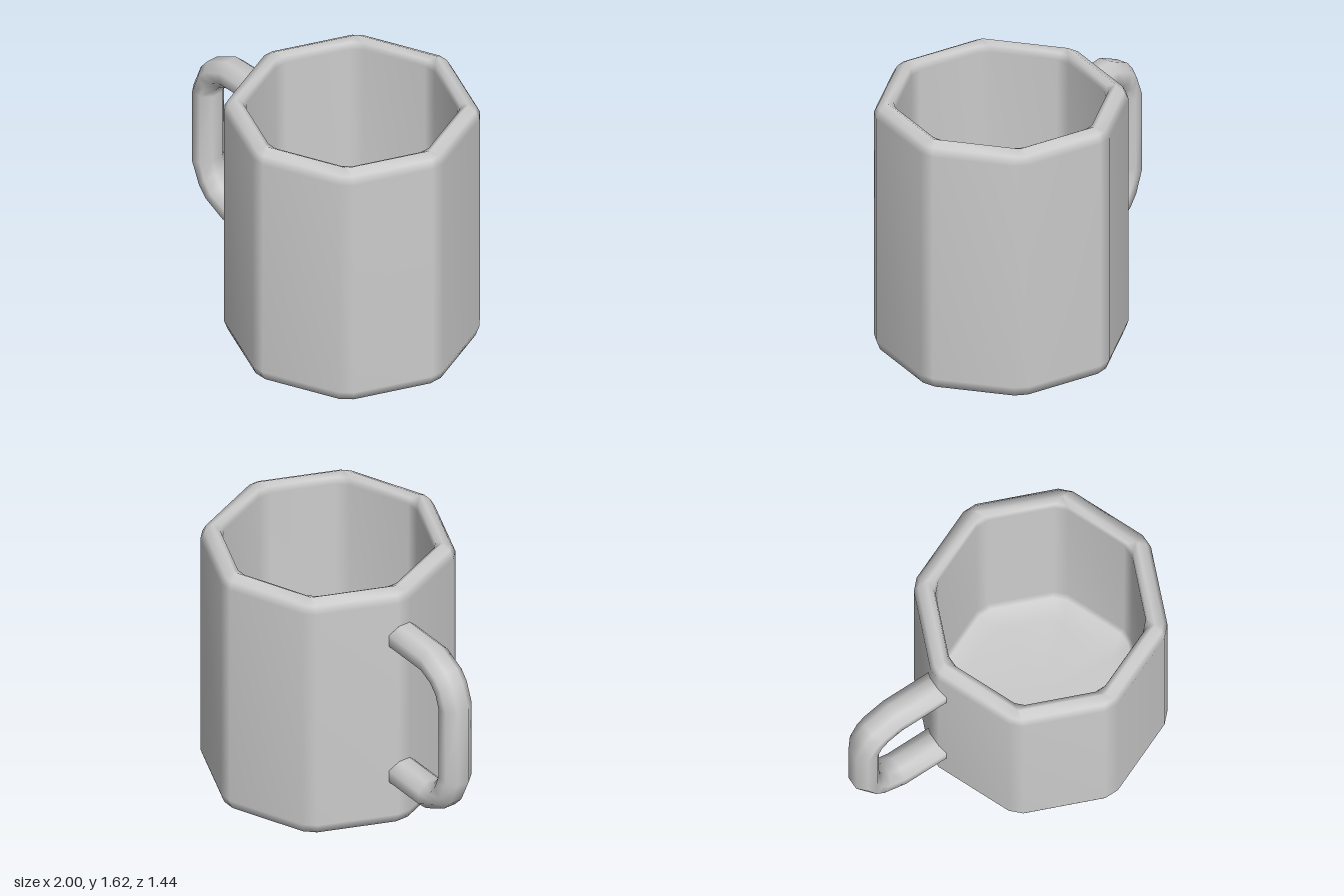
import * as THREE from 'three';
import { mergeVertices } from 'three/addons/utils/BufferGeometryUtils.js';

// Weld the seam and smooth the normals.
function smooth(geometry) {
  geometry.deleteAttribute('uv');
  geometry.deleteAttribute('normal');
  const welded = mergeVertices(geometry, 1e-4);
  welded.computeVertexNormals();
  return welded;
}

// Octagonal cup with narrow bevelled corners: [radius, height, half bevel width].
function cupGeometry() {
  const profile = [
    [0, 0, 0], [0.53, 0, 0.04], [0.70, 0.06, 0.04], [0.722, 0.12, 0.042],
    [0.722, 1.545, 0.042], [0.70, 1.59, 0.03], [0.655, 1.62, 0.005],
    [0.61, 1.6, 0.03], [0.597, 1.56, 0.04], [0.592, 0.2, 0.04],
    [0.57, 0.16, 0.04], [0.45, 0.125, 0.04], [0, 0.125, 0],
  ];
  const points = profile.map(([r, y]) => new THREE.Vector2(r, y));
  const geometry = new THREE.LatheGeometry(points, 16);
  const pos = geometry.attributes.position;
  for (let i = 0; i < pos.count; i++) {
    const [r, y, bevel] = profile[i % profile.length];
    const step = Math.floor(i / profile.length) % 16;
    // Gather the sixteen columns into eight close pairs.
    const side = step % 2 ? 1 : -1;
    const angle = Math.floor(step / 2) * Math.PI / 4 + (r ? side * Math.asin(bevel / r) : 0);
    pos.setXYZ(i, r * Math.sin(angle), y, r * Math.cos(angle));
  }
  return smooth(geometry);
}

// Handle swept through rings: [outer x, outer y, inner x, inner y].
function handleGeometry() {
  const rings = [
    [-0.38, 1.39, -0.38, 1.215], [-0.73, 1.39, -0.72, 1.215],
    [-0.89, 1.31, -0.78, 1.19], [-0.94, 1.25, -0.83, 1.14],
    [-1, 1.10, -0.845, 1.09], [-1, 0.605, -0.845, 0.65],
    [-0.93, 0.45, -0.82, 0.57], [-0.87, 0.385, -0.775, 0.505],
    [-0.70, 0.297, -0.70, 0.474], [-0.38, 0.297, -0.38, 0.474],
  ];
  const sides = 8;
  const scale = 1 / Math.cos(Math.PI / sides);
  const vertices = [];
  const index = [];
  rings.forEach(([ox, oy, ix, iy], k) => {
    for (let j = 0; j < sides; j++) {
      const a = (j + 0.5) / sides * Math.PI * 2;
      const c = Math.cos(a) * scale / 2;
      vertices.push(
        (ox + ix) / 2 + (ox - ix) * c,
        (oy + iy) / 2 + (oy - iy) * c,
        0.093 * Math.sin(a) * scale,
      );
      if (k === 0) continue;
      const p = (k - 1) * sides + j;
      const q = (k - 1) * sides + (j + 1) % sides;
      index.push(p, q, p + sides, q, q + sides, p + sides);
    }
  });
  const geometry = new THREE.BufferGeometry();
  geometry.setAttribute('position', new THREE.Float32BufferAttribute(vertices, 3));
  geometry.setIndex(index);
  geometry.computeVertexNormals();
  return geometry;
}

export function createModel() {
  const group = new THREE.Group();
  group.name = 'mug';
  const material = new THREE.MeshStandardMaterial({ color: 0xcccccc });

  const cup = new THREE.Mesh(cupGeometry(), material);
  cup.name = 'cup';
  cup.position.x = 0.278;
  group.add(cup);

  // The ends are open but buried in the cup wall.
  const handleMaterial = material.clone();
  handleMaterial.side = THREE.DoubleSide;
  const handle = new THREE.Mesh(handleGeometry(), handleMaterial);
  handle.name = 'handle';
  group.add(handle);

  return group;
}
